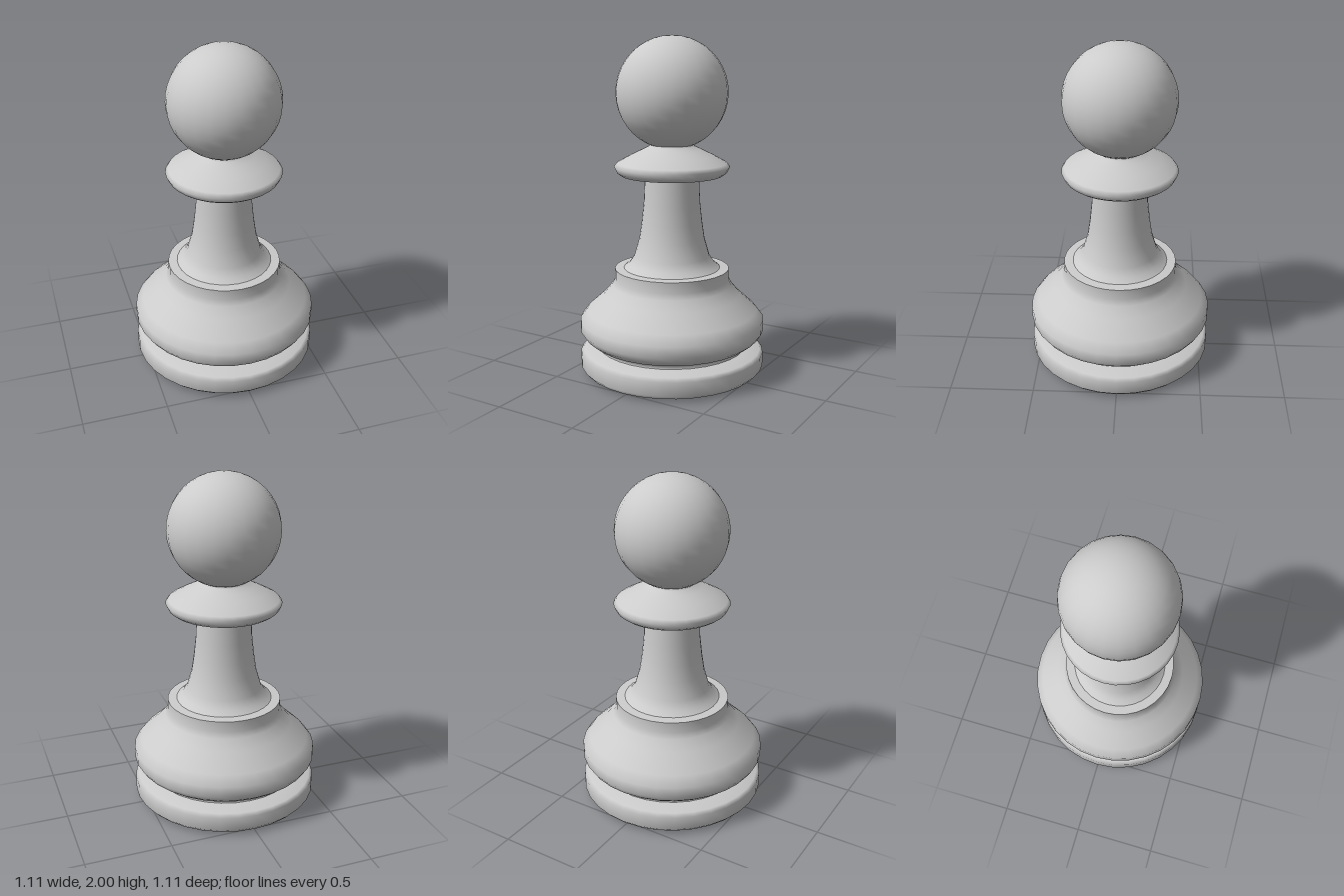
import * as THREE from 'three';

const SEGMENTS = 32;
const material = new THREE.MeshStandardMaterial({ color: 0xcccccc, side: THREE.DoubleSide });

// Turned part from [radius, height] points, listed bottom to top
function turned(name, profile) {
  const points = profile.map(([r, y]) => new THREE.Vector2(r, y));
  // Start a vertex ring on the +z axis
  const mesh = new THREE.Mesh(new THREE.LatheGeometry(points, SEGMENTS), material);
  mesh.name = name;
  return mesh;
}

export function createModel() {
  const group = new THREE.Group();
  group.name = 'pawn';

  // Flat underside
  group.add(turned('underside', [[0, 0], [0.475, 0]]));

  // Rounded foot ring, up to the groove
  group.add(turned('footRing', [
    [0.475, 0], [0.53, 0.015], [0.553, 0.04], [0.553, 0.12], [0.535, 0.14], [0.45, 0.157],
  ]));

  // Bulging body above the groove, narrowing to the rim
  group.add(turned('body', [
    [0.45, 0.157], [0.445, 0.175], [0.49, 0.193], [0.53, 0.225], [0.553, 0.26],
    [0.553, 0.325], [0.51, 0.38], [0.41, 0.47], [0.36, 0.53], [0.342, 0.565], [0.342, 0.63],
  ]));

  // Flat ledge on the rim
  group.add(turned('ledge', [[0.342, 0.63], [0.27, 0.635]]));

  // Flared stem
  group.add(turned('stem', [
    [0.29, 0.632], [0.255, 0.66], [0.225, 0.705], [0.195, 0.81], [0.18, 0.91],
    [0.167, 1.03], [0.16, 1.19],
  ]));

  // Collar: flat underside, rounded edge and sloping top
  group.add(turned('collarUnderside', [[0.15, 1.192], [0.3, 1.192]]));
  group.add(turned('collar', [
    [0.3, 1.192], [0.325, 1.21], [0.341, 1.243], [0.325, 1.265], [0.245, 1.309],
    [0.175, 1.343], [0.135, 1.362], [0.125, 1.375], [0.125, 1.4],
  ]));

  // Ball head
  const head = new THREE.Mesh(new THREE.SphereGeometry(0.328, 24, 20), material);
  head.name = 'head';
  head.position.y = 1.672;
  group.add(head);

  return group;
}
